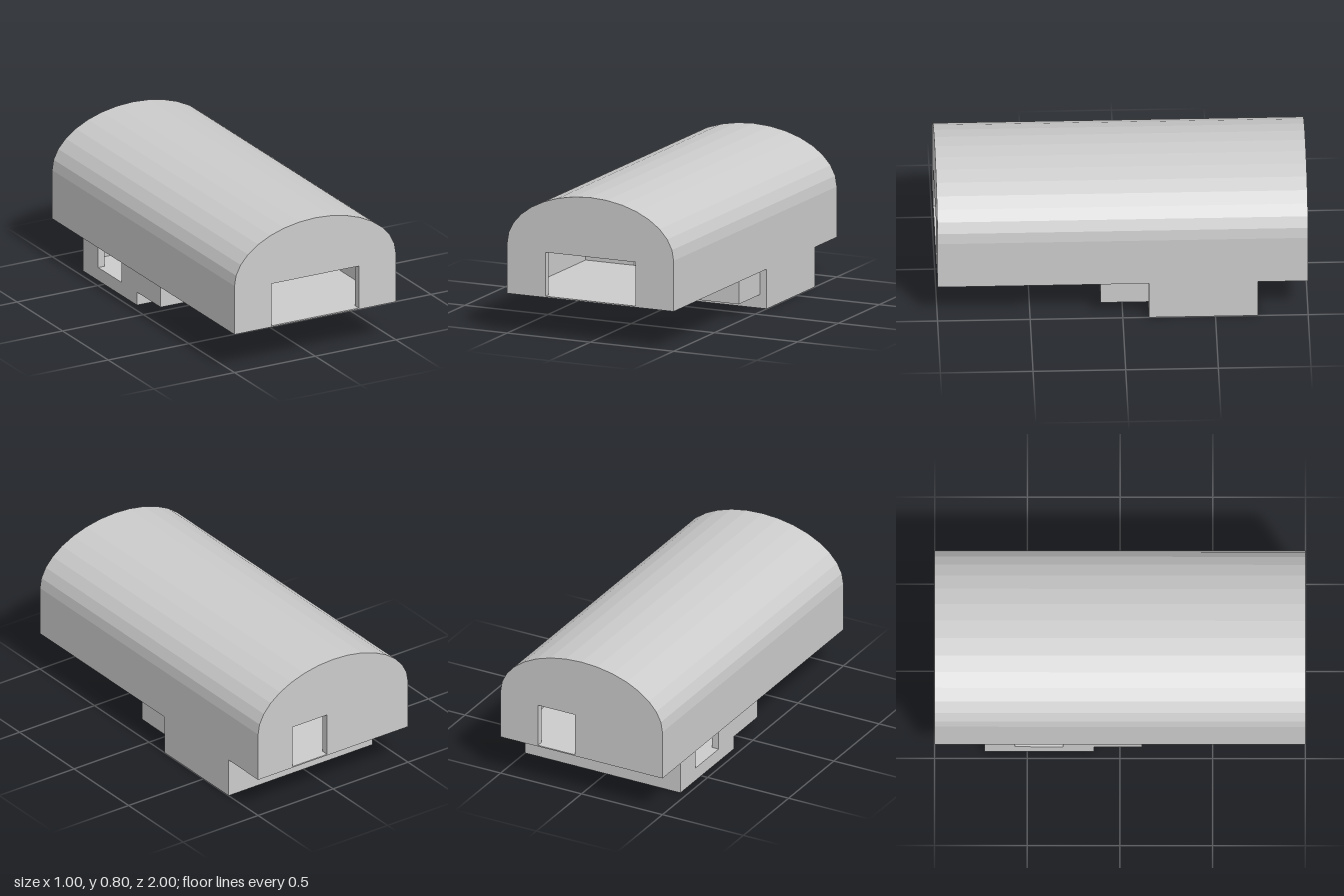
import * as THREE from 'three';

const mat = new THREE.MeshStandardMaterial({ color: 0xcccccc, flatShading: true });

export function createModel() {
  const model = new THREE.Group();
  model.name = 'barrelRoofBunker';

  const add = (name, geometry) => {
    const mesh = new THREE.Mesh(geometry, mat);
    mesh.name = name;
    model.add(mesh);
    return mesh;
  };

  // Box given by its limits on each axis
  const box = (name, x0, x1, y0, y1, z0, z1) =>
    add(name, new THREE.BoxGeometry(x1 - x0, y1 - y0, z1 - z0))
      .position.set((x0 + x1) / 2, (y0 + y1) / 2, (z0 + z1) / 2);

  // Side profile of [z, y] points, extruded across x from -half to half
  const across = (name, points, half) => {
    const shape = new THREE.Shape(points.map(([z, y]) => new THREE.Vector2(z, y)));
    const geometry = new THREE.ExtrudeGeometry(shape, { depth: half * 2, bevelEnabled: false });
    geometry.translate(0, 0, -half).rotateY(-Math.PI / 2);
    add(name, geometry);
  };

  // End wall with a doorway from x0 to x1
  const endWall = (name, z, x0, x1) => {
    const rect = (a, b, c, d) => [[a, c], [b, c], [b, d], [a, d]].map(([x, y]) => new THREE.Vector2(x, y));
    const shape = new THREE.Shape(rect(-0.5, 0.5, 0.22, 0.5));
    shape.holes.push(new THREE.Path(rect(x0, x1, 0.227, 0.47)));
    const geometry = new THREE.ExtrudeGeometry(shape, { depth: 0.04, bevelEnabled: false });
    geometry.translate(0, 0, z);
    add(name, geometry);
  };

  // Faceted barrel roof
  const arc = [];
  for (let i = 0; i <= 16; i++) {
    const a = (i / 16) * Math.PI;
    arc.push(new THREE.Vector2(0.5 * Math.cos(a), 0.5 + 0.3 * Math.sin(a)));
  }
  const roof = new THREE.ExtrudeGeometry(new THREE.Shape(arc), { depth: 2, bevelEnabled: false });
  add('barrelRoof', roof.translate(0, 0, -1));

  // Hall shell
  endWall('frontWall', 0.96, -0.27, 0.27);
  endWall('backWall', -1, 0.04, 0.27);
  box('frontFloor', -0.46, 0.46, 0.22, 0.227, 0.12, 0.96);
  box('backFloor', -0.46, 0.46, 0.22, 0.227, -0.96, -0.3);

  // Paired parts on both sides of the stairwell
  for (const s of [-1, 1]) {
    const side = (name, a, b, ...rest) => box(name, Math.min(s * a, s * b), Math.max(s * a, s * b), ...rest);
    side('hallSideWall', 0.46, 0.5, 0.22, 0.5, -0.96, 0.96);
    side('middleFloor', 0.17, 0.46, 0.22, 0.227, -0.3, 0.12);
    side('partition', 0.17, 0.46, 0.227, 0.5, 0.08, 0.12);
    side('stairwellWall', 0.17, 0.21, 0.227, 0.5, -0.3, 0.08);
    side('stairFlank', 0.18, 0.46, 0.075, 0.22, -0.14, 0.12);
  }

  // Ramp down to the lower room and the sloping ceiling above it
  across('ramp', [[0.12, 0.22], [0.12, 0.227], [-0.14, 0.082], [-0.14, 0.075]], 0.18);
  across('stairwellCeiling', [[0.12, 0.47], [0.12, 0.5], [-0.3, 0.5], [-0.3, 0.22]], 0.17);

  // Lower room with a side doorway
  box('lowerFloor', -0.46, 0.5, 0, 0.075, -0.73, -0.14);
  box('lowerBackWall', -0.46, 0.5, 0.075, 0.22, -0.73, -0.69);
  box('lowerLeftWall', 0.46, 0.5, 0.075, 0.22, -0.69, -0.14);
  box('lowerRightWallBack', -0.46, -0.42, 0.075, 0.22, -0.69, -0.565);
  box('lowerRightWallFront', -0.46, -0.42, 0.075, 0.22, -0.307, -0.14);
  box('lowerFrontWallRight', -0.42, -0.17, 0.075, 0.22, -0.18, -0.14);
  box('lowerFrontWallLeft', 0.17, 0.46, 0.075, 0.22, -0.18, -0.14);

  return model;
}
